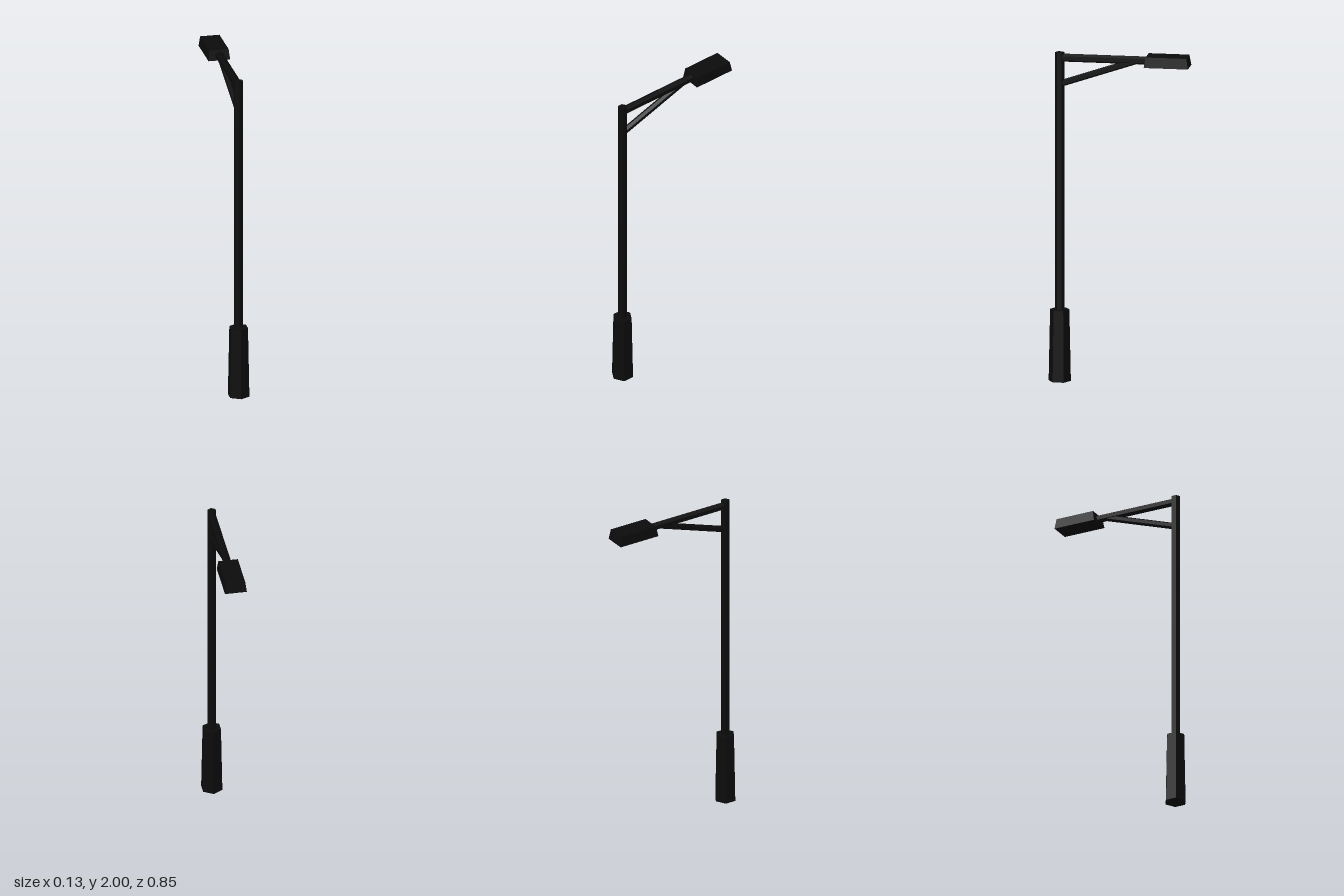
import * as THREE from 'three';

export function createModel() {
  const group = new THREE.Group();
  const black = new THREE.MeshStandardMaterial({ color: 0x0b0b0b, flatShading: true });
  black.name = 'black metal';

  const add = (name, geometry) => {
    const mesh = new THREE.Mesh(geometry, black);
    mesh.name = name;
    group.add(mesh);
    return mesh;
  };

  // Six-sided bar between two points in the x = 0 plane, given as [y, z]
  const hexBar = (name, [y0, z0], [y1, z1], r0, r1 = r0) => {
    const dy = y1 - y0, dz = z1 - z0;
    const bar = add(name, new THREE.CylinderGeometry(r1, r0, Math.hypot(dy, dz), 6));
    bar.position.set(0, (y0 + y1) / 2, (z0 + z1) / 2);
    bar.rotation.x = Math.atan2(dz, dy);
    return bar;
  };

  const poleZ = 0.357;
  hexBar('base', [0, poleZ], [0.435, poleZ], 0.067, 0.058);
  hexBar('pole', [0.4, poleZ], [2, poleZ], 0.028);
  hexBar('arm', [1.968, poleZ], [1.968, -0.2], 0.0245);
  hexBar('brace', [1.811, 0.347], [1.964, -0.103], 0.02);

  // Lamp head: a box whose top is slightly smaller than its bottom
  const head = new THREE.BoxGeometry(0.132, 0.063, 0.266);
  const p = head.attributes.position;
  for (let i = 0; i < p.count; i++) {
    if (p.getY(i) > 0) p.setXYZ(i, p.getX(i) * 0.89, p.getY(i), p.getZ(i) * 0.92);
  }
  head.computeVertexNormals();
  add('lampHead', head).position.set(0, 1.9685, -0.291);

  return group;
}
